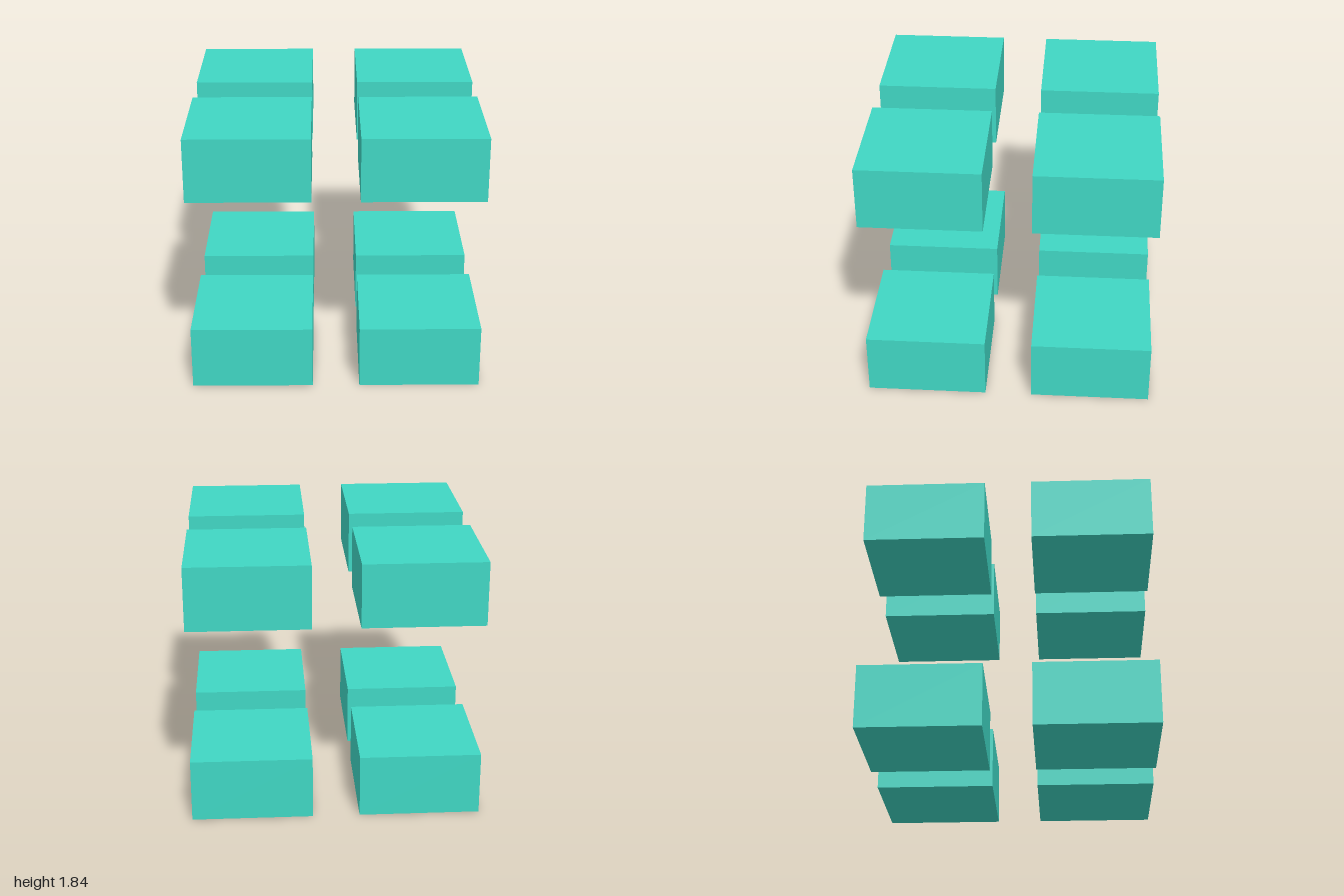
import * as THREE from 'three';

// Eight equal blocks at the corners of a box: two layers of four
export function createModel() {
  const model = new THREE.Group();
  model.name = 'blockArray';

  const width = 0.837, height = 0.443, top = 1.84;
  const offset = 1 - width / 2;
  const geometry = new THREE.BoxGeometry(width, height, width);
  const material = new THREE.MeshStandardMaterial({ color: 0x40d6c3 });

  const layers = [['lower', height / 2], ['upper', top - height / 2]];
  for (const [layerName, y] of layers) {
    const layer = new THREE.Group();
    layer.name = `${layerName}Layer`;
    layer.position.y = y;
    for (const [depthName, sz] of [['Front', 1], ['Back', -1]]) {
      for (const [sideName, sx] of [['Left', 1], ['Right', -1]]) {
        const block = new THREE.Mesh(geometry, material);
        block.name = `${layerName}${depthName}${sideName}Block`;
        block.position.set(sx * offset, 0, sz * offset);
        layer.add(block);
      }
    }
    model.add(layer);
  }
  return model;
}
